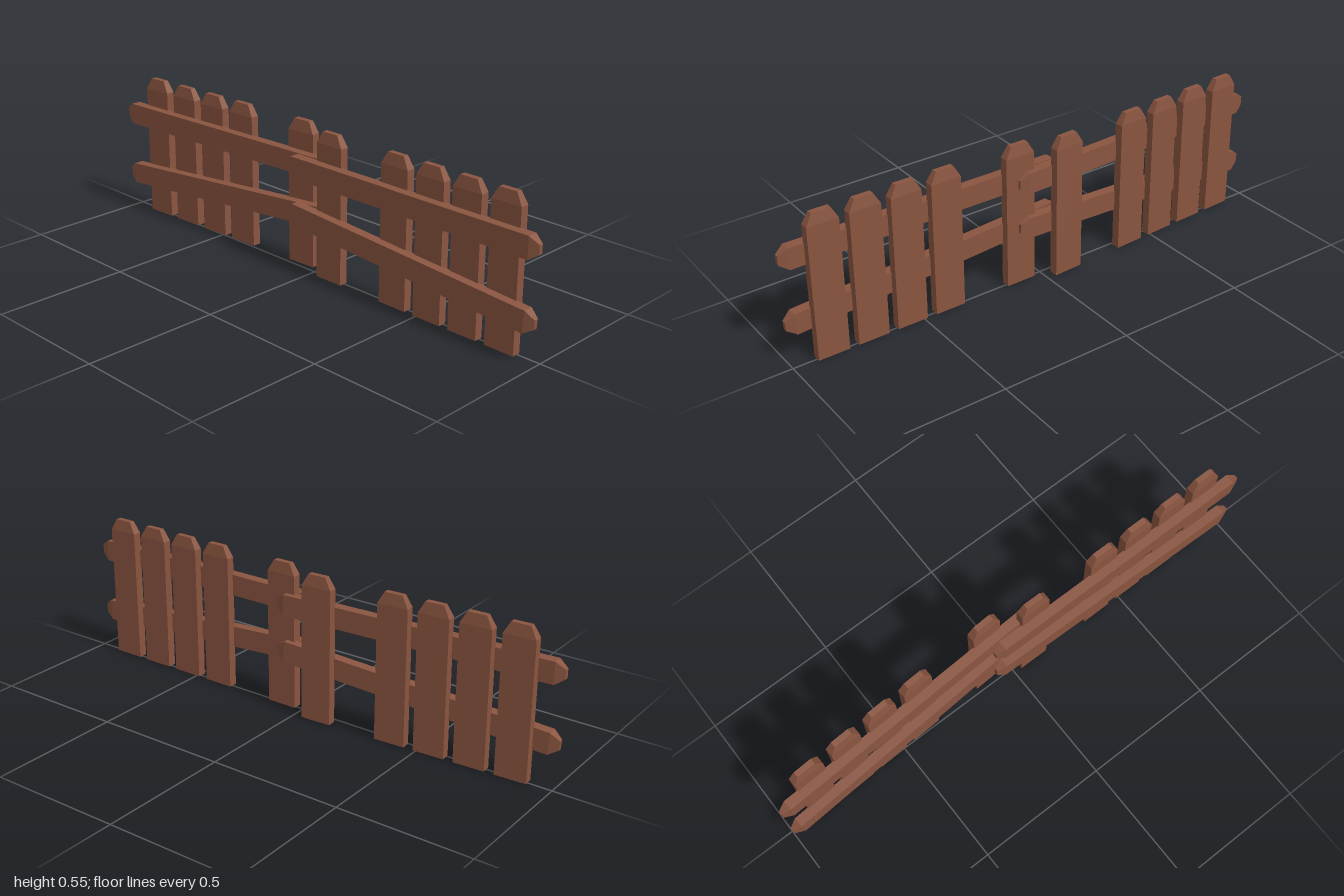
import * as THREE from 'three';

const wood = new THREE.MeshStandardMaterial({ color: 0x8a5540, flatShading: true });

// Upright board along y, standing on 0, with bevelled ends where requested
function board(w, h, d, bevel, insetX, insetZ, bothEnds) {
  const geo = new THREE.BoxGeometry(w, h, d, 1, 3, 1);
  geo.translate(0, h / 2, 0);
  const pos = geo.attributes.position;
  for (let i = 0; i < pos.count; i++) {
    const row = Math.round(pos.getY(i) / h * 3);
    pos.setY(i, [0, bevel, h - bevel, h][row]);
    if (row === 3 || (row === 0 && bothEnds)) {
      pos.setX(i, pos.getX(i) - Math.sign(pos.getX(i)) * insetX);
      pos.setZ(i, pos.getZ(i) - Math.sign(pos.getZ(i)) * insetZ);
    }
  }
  const flat = geo.toNonIndexed();
  flat.computeVertexNormals();
  return flat;
}

const LENGTH = 1.1;
const picketGeo = board(0.033, 0.552, 0.117, 0.043, 0.006, 0.024, false);
const railGeo = board(0.038, LENGTH, 0.08, 0.034, 0.011, 0.023, true);
railGeo.translate(0, -LENGTH / 2, 0);
railGeo.rotateX(Math.PI / 2);

// One fence panel; dir points to its outer end along z
function panel(name, dir) {
  const group = new THREE.Group();
  group.name = name;
  const add = (geo, part, x, y, z) => {
    const mesh = new THREE.Mesh(geo, wood);
    mesh.name = part;
    mesh.position.set(x, y, z);
    group.add(mesh);
    return mesh;
  };
  // Pickets, with one missing near the inner end
  [0.402, 0.249, 0.096, -0.058, -0.36].forEach((z, i) =>
    add(picketGeo, 'picket' + (i + 1), 0.0305, 0, z * dir));
  // Level upper rail and sagging lower rail
  add(railGeo, 'upperRail', 0, 0.401, 0);
  add(railGeo, 'lowerRail', 0, 0.187, 0).rotation.x = dir * Math.asin(0.076 / LENGTH);
  return group;
}

export function createModel() {
  const model = new THREE.Group();
  model.name = 'picketFence';
  const front = panel('frontPanel', 1);
  front.position.set(-0.035, 0, 0.45);
  // The rear panel is turned slightly and overlaps the front one
  const back = panel('backPanel', -1);
  back.position.set(-0.012, 0, -0.45);
  back.rotation.y = 0.051;
  model.add(front, back);
  return model;
}
